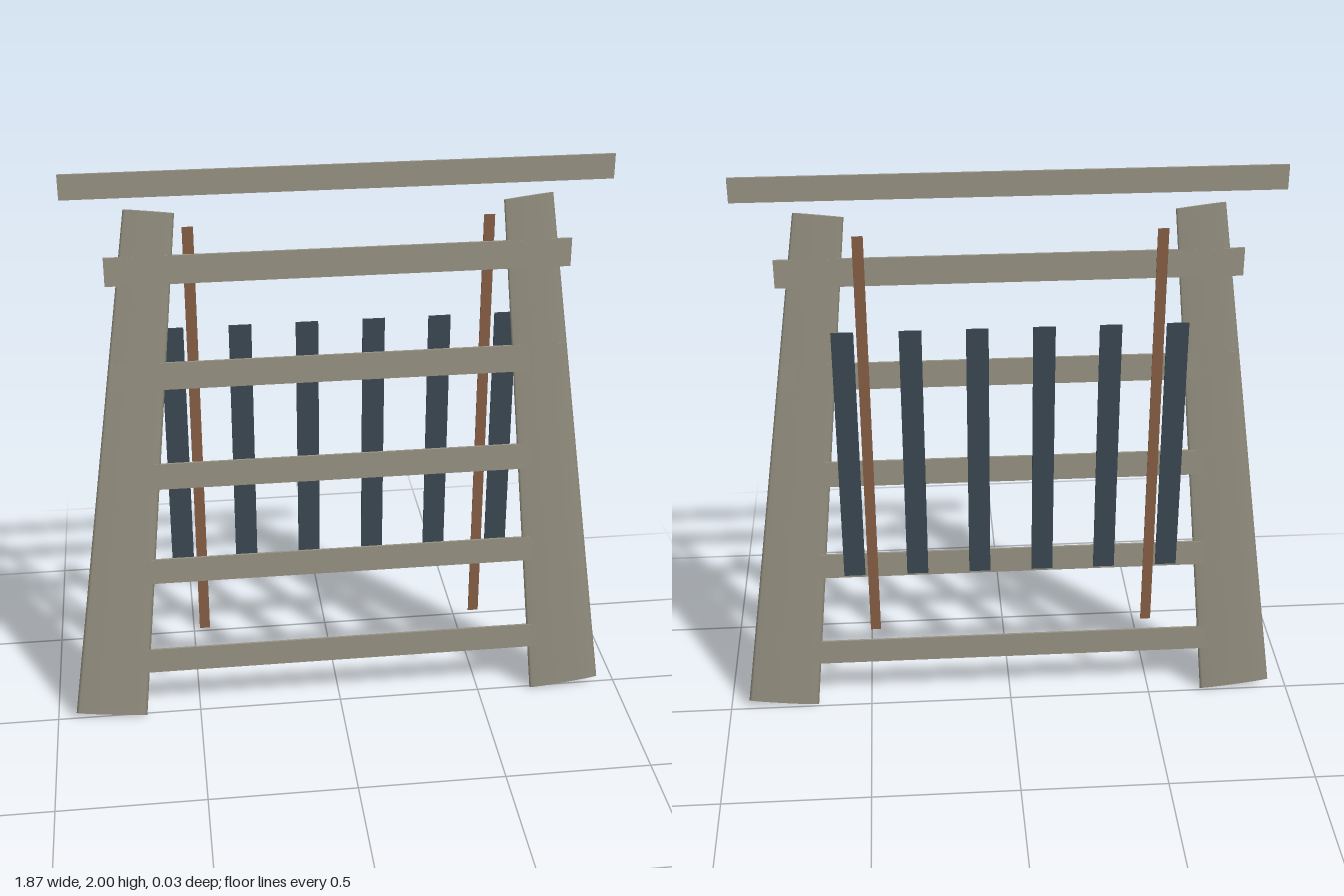
import * as THREE from 'three';

const timber = new THREE.MeshStandardMaterial({ color: 0x989484 });
timber.name = 'weathered timber';
const slate = new THREE.MeshStandardMaterial({ color: 0x3b4852 });
slate.name = 'dark slate';
const copper = new THREE.MeshStandardMaterial({ color: 0x875f44 });
copper.name = 'copper brown';

const FRAME_Z = 0.01;

export function createModel() {
  const model = new THREE.Group();
  model.name = 'slattedFrame';

  // A flat bar given by its centre x, vertical extent and depth
  function bar(name, material, x, y0, y1, z, width, depth) {
    const mesh = new THREE.Mesh(new THREE.BoxGeometry(width, y1 - y0, depth), material);
    mesh.name = name;
    mesh.position.set(x, (y0 + y1) / 2, z);
    model.add(mesh);
  }

  // Leaning, tapered posts: cylinders flattened to a thin lens section
  for (const side of [-1, 1]) {
    const top = new THREE.Vector2(side * 0.588, 1.874);
    const foot = new THREE.Vector2(side * 0.812, 0.018);
    const geometry = new THREE.CylinderGeometry(0.078, 0.124, top.distanceTo(foot), 16);
    geometry.scale(1, 1, 0.042);
    const post = new THREE.Mesh(geometry, timber);
    post.name = side > 0 ? 'leftPost' : 'rightPost';
    post.position.set((top.x + foot.x) / 2, (top.y + foot.y) / 2, FRAME_Z);
    post.rotation.z = Math.atan2(foot.x - top.x, top.y - foot.y);
    model.add(post);
  }

  // Floating top beam and the five cross rails
  bar('topBeam', timber, 0, 1.92, 2, FRAME_Z, 1.71, 0.007);
  [0.185, 0.547, 0.91, 1.273, 1.635].forEach((y, i) =>
    bar(`crossRail${i + 1}`, timber, 0, y, y + 0.094, FRAME_Z, 1.47, 0.007));

  // Upright slats and slim rods behind the rails
  for (const side of [-1, 1]) {
    [0.107, 0.32, 0.535].forEach((x, i) =>
      bar(`slat${side > 0 ? 'Left' : 'Right'}${i + 1}`, slate, side * x, 0.56, 1.48, -0.001, 0.072, 0.004));
    bar(side > 0 ? 'leftRod' : 'rightRod', copper, side * 0.472, 0.34, 1.81, -0.013, 0.035, 0.003);
  }

  return model;
}
